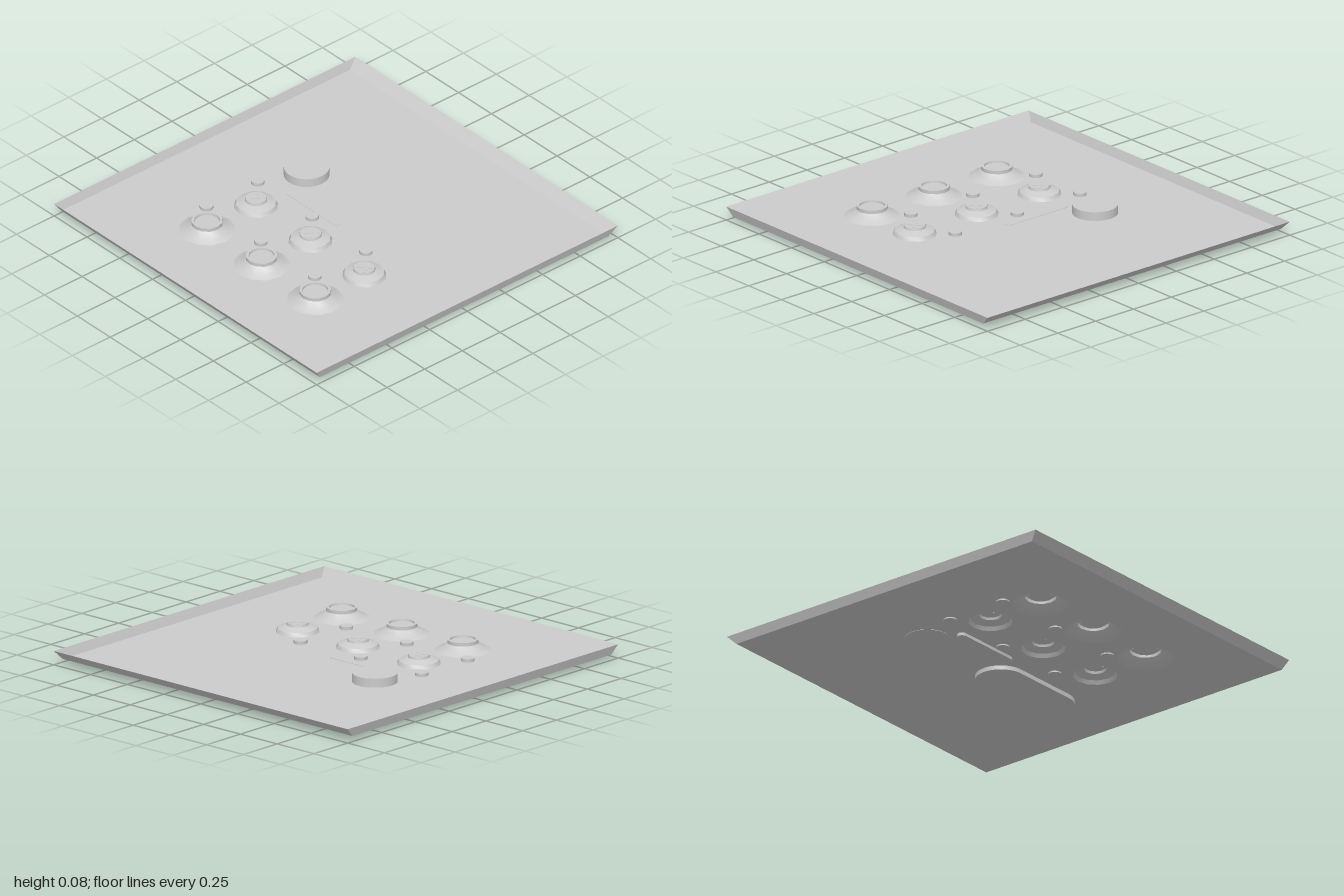
import * as THREE from 'three';
import { toCreasedNormals } from 'three/addons/utils/BufferGeometryUtils.js';

const FLOOR = 0.023, RIM = 0.072, SIDES = 12;
const material = new THREE.MeshStandardMaterial({ color: 0xcccccc, side: THREE.DoubleSide });
const columns = [-0.38, 0.035, 0.445];

// radius/height profiles of the two kinds of pressed dome
const largeDome = [[0.145, FLOOR], [0.115, 0.035], [0.088, 0.055], [0.08, 0.062], [0.08, 0.08], [0.066, 0.08], [0.064, 0.068], [0.0001, 0.068]];
const smallDome = [[0.112, FLOOR], [0.102, 0.043], [0.057, 0.058], [0.054, 0.071], [0.0001, 0.071]];

export function createModel() {
  const group = new THREE.Group();
  const add = (name, geometry, x = 0, y = 0, z = 0) => {
    const mesh = new THREE.Mesh(geometry, material);
    mesh.name = name;
    mesh.position.set(x, y, z);
    group.add(mesh);
    return mesh;
  };

  // floor sheet, open beneath every dome (shape y is -z)
  const floor = new THREE.Shape([[-0.985, 0.95], [-0.985, -0.965], [0.985, -0.965], [0.985, 0.95]]
    .map(([x, y]) => new THREE.Vector2(x, y)));
  const cutHole = (x, z, r) => {
    const points = [];
    for (let i = 0; i < SIDES; i++) {
      const a = (i / SIDES) * Math.PI * 2;
      points.push(new THREE.Vector2(x + r * Math.sin(a), -z - r * Math.cos(a)));
    }
    floor.holes.push(new THREE.Path(points));
  };

  // two rows of domes
  const addDome = (name, profile, x, z) => {
    const points = profile.map(([r, y]) => new THREE.Vector2(r, y));
    add(name, toCreasedNormals(new THREE.LatheGeometry(points, SIDES), 0.6), x, 0, z);
    cutHole(x, z, profile[0][0]);
  };
  for (const x of columns) {
    addDome('largeDome', largeDome, x, 0.525);
    addDome('smallDome', smallDome, x, 0.2);
    // crossed ribs on the small cap
    for (const turn of [0, Math.PI / 2]) {
      add('capRib', new THREE.BoxGeometry(0.09, 0.003, 0.014), x, 0.0715, 0.2).rotation.y = turn + Math.PI / 4;
    }
    // indicator buttons beside each dome
    for (const z of [0.4, 0.06]) {
      add('indicatorButton', new THREE.CylinderGeometry(0.034, 0.034, 0.024, 16), x - 0.148, 0.028, z);
    }
  }
  add('floor', new THREE.ShapeGeometry(floor).rotateX(-Math.PI / 2), 0, FLOOR, 0);

  // sloping lip between the floor outline and the rim
  const lower = [[-0.985, -0.95], [-0.985, 0.965], [0.985, 0.965], [0.985, -0.95]];
  const upper = [[-1, -1], [-1, 1], [1, 1], [1, -1]];
  const positions = [];
  for (let i = 0; i < 4; i++) {
    const j = (i + 1) % 4;
    const a = [lower[i][0], FLOOR, lower[i][1]], b = [lower[j][0], FLOOR, lower[j][1]];
    const c = [upper[j][0], RIM, upper[j][1]], d = [upper[i][0], RIM, upper[i][1]];
    positions.push(...a, ...b, ...c, ...a, ...c, ...d);
  }
  const lip = new THREE.BufferGeometry();
  lip.setAttribute('position', new THREE.Float32BufferAttribute(positions, 3));
  lip.computeVertexNormals();
  add('lip', lip);

  // round knob standing on the floor
  add('roundKnob', new THREE.CylinderGeometry(0.115, 0.115, 0.049, 32), -0.425, 0.0455, -0.175);

  // long rounded plates under the floor
  const addPlate = (name, x0, x1, z, r, y0, y1) => {
    const s = new THREE.Shape();
    s.absarc(x1 - r, -z, r, -Math.PI / 2, Math.PI / 2);
    s.absarc(x0 + r, -z, r, Math.PI / 2, Math.PI * 1.5);
    const plate = new THREE.ExtrudeGeometry(s, { depth: y1 - y0, bevelEnabled: false, curveSegments: 16 });
    add(name, toCreasedNormals(plate.rotateX(-Math.PI / 2), 0.6), 0, y0, 0);
  };
  addPlate('largePlate', 0.02, 0.66, -0.17, 0.13, 0, 0.022);
  addPlate('slotPlate', -0.38, 0.025, -0.006, 0.025, 0.007, 0.025);

  return group;
}
